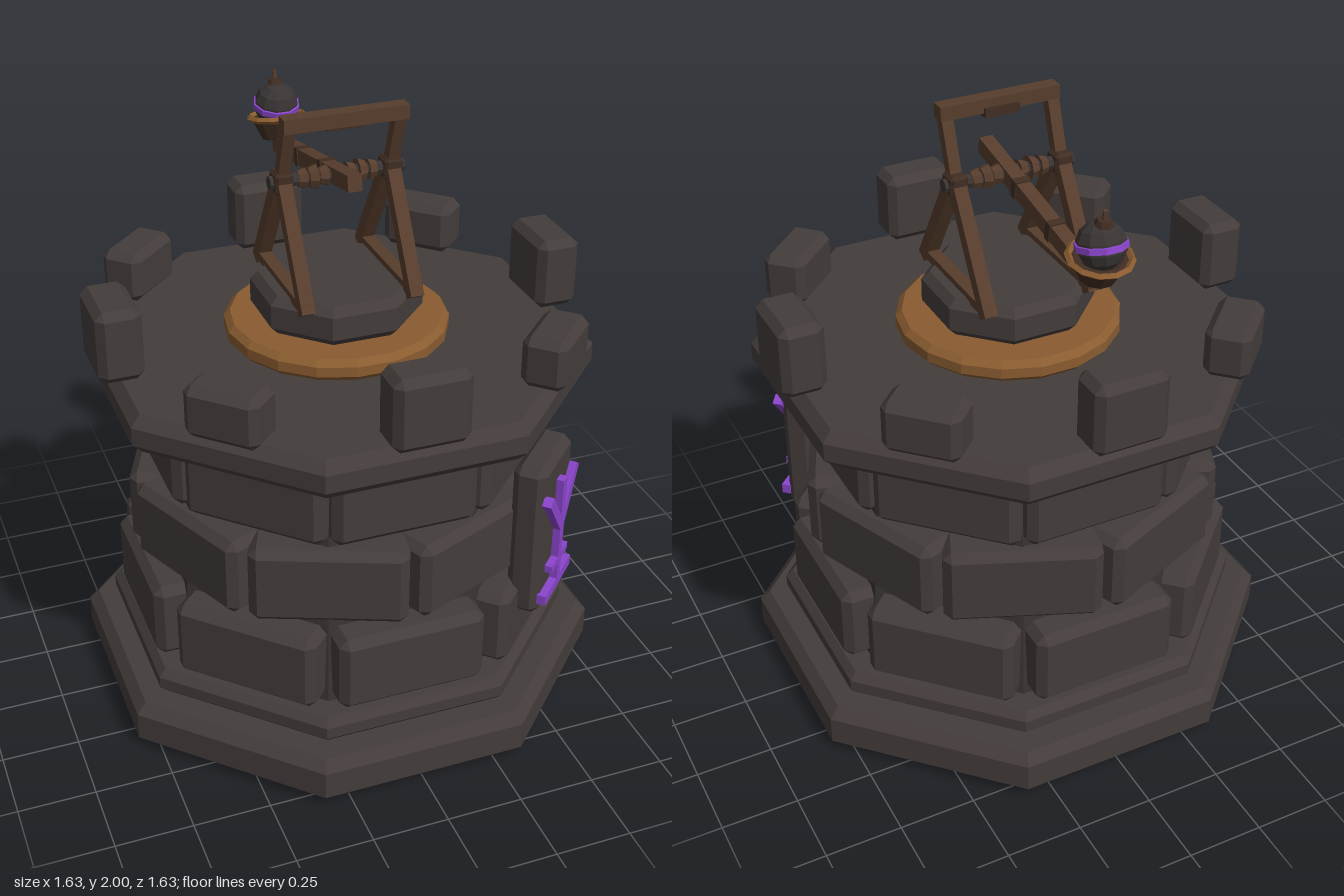
import * as THREE from 'three';
import { ConvexGeometry } from 'three/addons/geometries/ConvexGeometry.js';

const mat = (name, color) => {
  const m = new THREE.MeshStandardMaterial({ color });
  m.name = name;
  return m;
};

// Faceted copy of a geometry
function facet(geo) {
  const g = geo.index ? geo.toNonIndexed() : geo;
  g.computeVertexNormals();
  return g;
}

// Box with cut edges, centred on the origin
function stoneBox(w, h, d, c) {
  const pts = [];
  for (const x of [-1, 1]) for (const y of [-1, 1]) for (const z of [-1, 1]) {
    const a = x * w / 2, b = y * h / 2, e = z * d / 2;
    pts.push(new THREE.Vector3(a, b - y * c, e - z * c),
      new THREE.Vector3(a - x * c, b, e - z * c),
      new THREE.Vector3(a - x * c, b - y * c, e));
  }
  return new ConvexGeometry(pts);
}

// Faceted turned solid from [radius, y] pairs, bottom to top
function turned(profile, sides) {
  const pts = profile.map(([r, y]) => new THREE.Vector2(r, y));
  return facet(new THREE.LatheGeometry(pts, sides, Math.PI / sides));
}

// Chamfered prism; size is the distance from the axis to a flat side
function slab(size, y0, y1, c, sides = 8) {
  const r = size / Math.cos(Math.PI / sides);
  return turned([[0, y0], [r - c, y0], [r, y0 + c], [r, y1 - c], [r - c, y1], [0, y1]], sides);
}

export function createModel() {
  const stone = mat('stone', 0x433c3a);
  const darkStone = mat('darkStone', 0x393433);
  const wood = mat('wood', 0x573d2c);
  const darkWood = mat('darkWood', 0x402d22);
  const bronze = mat('bronze', 0x8a5c30);
  const purple = mat('purple', 0x8b45cc);

  const model = new THREE.Group();
  model.name = 'catapultTower';
  const add = (parent, name, geo, material, x = 0, y = 0, z = 0) => {
    const m = new THREE.Mesh(geo, material);
    m.name = name;
    m.position.set(x, y, z);
    parent.add(m);
    return m;
  };
  const group = (name, parent = model) => {
    const g = new THREE.Group();
    g.name = name;
    parent.add(g);
    return g;
  };

  // Stepped foot, inner core and platform
  add(model, 'base', slab(0.815, 0, 0.165, 0.035), stone);
  add(model, 'plinth', slab(0.725, 0.165, 0.255, 0.025), stone);
  add(model, 'core', turned([[0.68, 0.25], [0.6, 1.11]], 8), darkStone);
  add(model, 'platform', slab(0.765, 1.1, 1.23, 0.035), stone);
  // the overhanging edge reaches the width of the base in plan
  // Rings of wall blocks, each ring turned by half a block
  const rows = [
    { y: 0.395, face: 0.71, w: 0.49, turn: 0 },
    { y: 0.68, face: 0.668, w: 0.495, turn: 0.5 },
    { y: 0.957, face: 0.625, w: 0.475, turn: 0 },
  ];
  rows.forEach((row, k) => {
    const ring = group('wallRow' + (k + 1));
    for (let i = 0; i < 8; i++) {
      const a = (i + row.turn) * Math.PI / 4;
      const r = row.face - 0.11;
      const b = add(ring, 'wallBlock', stoneBox(row.w, 0.265, 0.22, 0.027), stone,
        Math.sin(a) * r, row.y, Math.cos(a) * r);
      b.rotation.y = a;
    }
  });

  // Battlements: tall on the straight sides, low on the diagonals
  const battlements = group('battlements');
  for (let i = 0; i < 8; i++) {
    const a = i * Math.PI / 4, h = i % 2 ? 0.17 : 0.24;
    const b = add(battlements, 'merlon', stoneBox(0.245, h, 0.145, 0.025), stone,
      Math.sin(a) * 0.733, 1.234 + h / 2, Math.cos(a) * 0.733);
    b.rotation.y = a;
  }

  // Rune tablet on the front left corner
  const tablet = group('runeTablet');
  tablet.rotation.y = Math.PI / 4;
  add(tablet, 'tabletStone', stoneBox(0.285, 0.55, 0.11, 0.025), stone, 0, 0.685, 0.72);
  const stroke = (x0, y0, x1, y1, w = 0.035) => {
    const dx = x1 - x0, dy = y1 - y0;
    const s = add(tablet, 'runeStroke', new THREE.BoxGeometry(w, Math.hypot(dx, dy), 0.03), purple,
      (x0 + x1) / 2, (y0 + y1) / 2, 0.785);
    s.rotation.z = -Math.atan2(dx, dy);
  };
  stroke(0, 0.46, 0, 0.87);
  stroke(-0.13, 0.475, 0.13, 0.475);
  stroke(-0.08, 0.565, 0.08, 0.565, 0.025);
  for (const s of [-1, 1]) stroke(0, 0.69, s * 0.13, 0.855);

  // Turntable
  add(model, 'turntable', slab(0.357, 1.232, 1.305, 0.02, 18), bronze);
  add(model, 'turntableStone', slab(0.255, 1.305, 1.435, 0.027), stone);

  // Catapult frame; beams lie in the side plane
  const catapult = group('catapult');
  const beam = (name, x, [y0, z0], [y1, z1], w, d, material = wood) => {
    const dy = y1 - y0, dz = z1 - z0;
    const b = add(catapult, name, new THREE.BoxGeometry(w, Math.hypot(dy, dz), d), material,
      x, (y0 + y1) / 2, (z0 + z1) / 2);
    b.rotation.x = Math.atan2(dz, dy);
  };
  for (const s of [-1, 1]) {
    const x = s * 0.178;
    beam('frontLeg', x, [1.42, 0.225], [1.79, 0], 0.044, 0.044);
    beam('backLeg', x, [1.42, -0.225], [1.79, 0], 0.044, 0.044);
    beam('footBeam', x, [1.44, -0.23], [1.44, 0.23], 0.042, 0.03);
    beam('upright', x, [1.77, 0], [1.98, 0.075], 0.038, 0.036);
    add(catapult, 'axleBlock', stoneBox(0.06, 0.072, 0.072, 0.01), darkWood, x, 1.77, 0);
    // Rope windings on the axle
    [[0.045, 0.034], [0.08, 0.04], [0.115, 0.034]].forEach(([rx, r]) => {
      const c = add(catapult, 'winding', facet(new THREE.CylinderGeometry(r, r * 0.75, 0.026, 8)),
        wood, s * rx, 1.77, 0);
      c.rotation.z = s * Math.PI / 2;
    });
  }
  add(catapult, 'crossBeam', new THREE.BoxGeometry(0.4, 0.045, 0.05), wood, 0, 1.977, 0.072);
  add(catapult, 'beamPad', new THREE.BoxGeometry(0.115, 0.03, 0.045), darkWood, 0, 1.957, 0.06);
  const axle = add(catapult, 'axle', facet(new THREE.CylinderGeometry(0.022, 0.022, 0.44, 8)),
    darkStone, 0, 1.77, 0);
  axle.rotation.z = Math.PI / 2;

  // Throwing arm with bands
  const armY = (z) => 1.77 + z * 0.183;
  beam('arm', 0, [armY(0.16), 0.16], [armY(-0.555), -0.555], 0.046, 0.052);
  for (const z of [-0.085, -0.305])
    beam('armBand', 0, [armY(z - 0.013), z - 0.013], [armY(z + 0.013), z + 0.013], 0.054, 0.06, darkWood);

  // Cup
  const cup = group('cup', catapult);
  cup.position.set(0, 1.685, -0.56);
  cup.rotation.x = -0.18;
  add(cup, 'cupBowl', turned([[0, 0], [0.055, 0], [0.088, 0.07], [0.07, 0.072], [0, 0.04]], 10), darkWood);
  const rim = add(cup, 'cupRim', facet(new THREE.TorusGeometry(0.092, 0.011, 4, 12)), bronze, 0, 0.072, 0);
  rim.rotation.x = Math.PI / 2;

  // Bomb with glowing band, cap and fuse
  const bomb = group('bomb', catapult);
  bomb.position.set(0, 1.797, -0.578);
  bomb.rotation.x = 0.22;
  add(bomb, 'bombBody', facet(new THREE.SphereGeometry(0.075, 10, 7)), darkStone);
  add(bomb, 'bombBand', turned([[0.07, -0.011], [0.079, -0.009], [0.079, 0.009], [0.07, 0.011]], 10), purple);
  const top = group('bombTop', bomb);
  top.rotation.x = -0.36;
  add(top, 'bombCap', facet(new THREE.CylinderGeometry(0.022, 0.03, 0.022, 8)), darkWood, 0, 0.075, 0);
  add(top, 'fuse', facet(new THREE.CylinderGeometry(0.007, 0.007, 0.04, 6)), wood, 0, 0.094, 0);

  return model;
}
